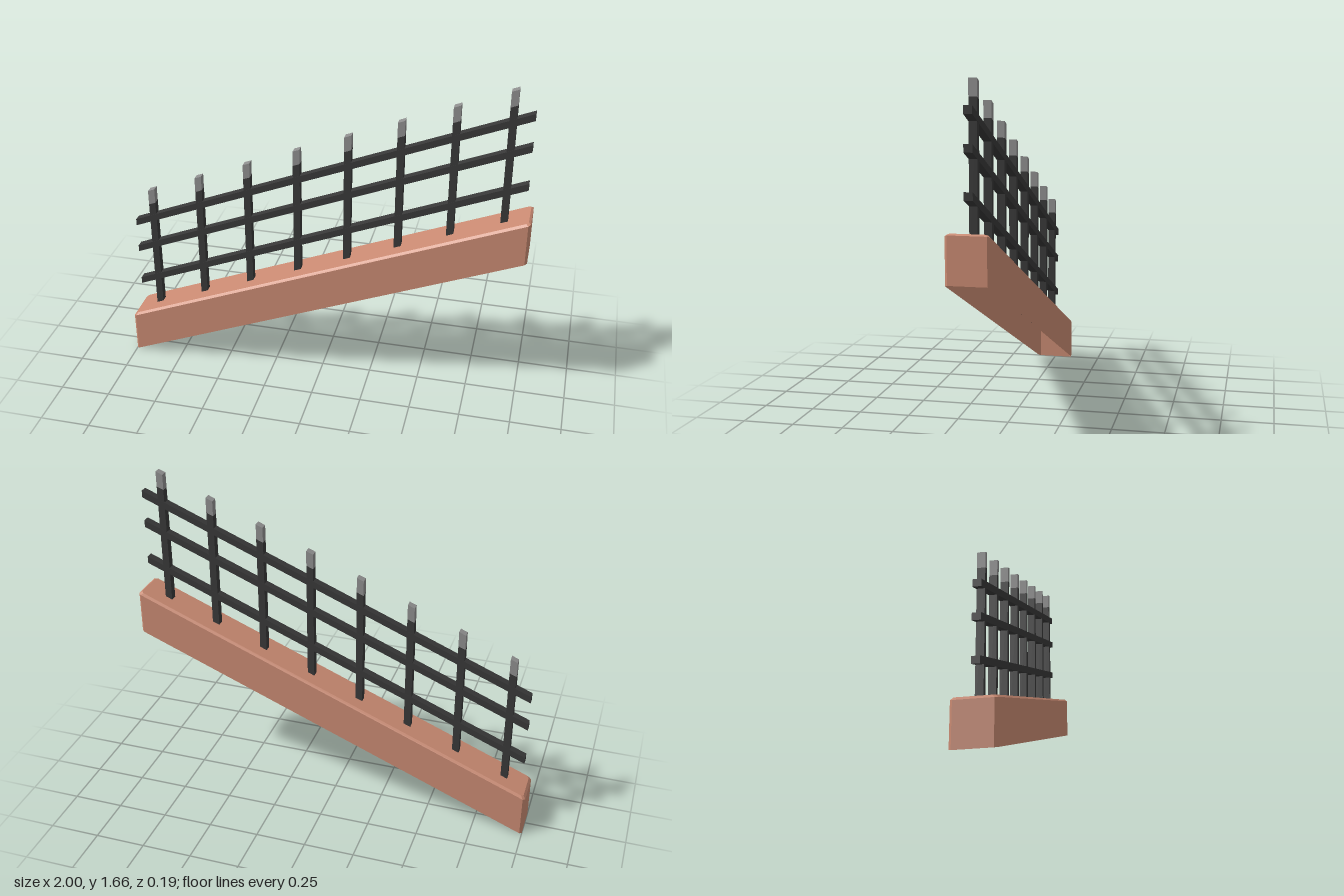
import * as THREE from 'three';

const SLOPE = 0.408;

// Shear a geometry so it climbs towards +x while its uprights stay vertical
function shear(geo) {
  const g = geo.index ? geo.toNonIndexed() : geo;
  const p = g.attributes.position;
  for (let i = 0; i < p.count; i++) p.setY(i, p.getY(i) + SLOPE * (p.getX(i) + 1));
  g.computeVertexNormals();
  return g;
}

// Box given by its centre, with y measured above the sloping base line
function slopedBox(w, h, d, x, y) {
  return shear(new THREE.BoxGeometry(w, h, d).translate(x, y, 0));
}

// Hollow plinth: chamfered walls and top, open underneath
function plinthGeometry(hx, hz, h, c) {
  const ring = (x, z, y) => [
    [x, y, z - c], [x - c, y, z], [c - x, y, z], [-x, y, z - c],
    [-x, y, c - z], [c - x, y, -z], [x - c, y, -z], [x, y, c - z],
  ];
  const rings = [ring(hx, hz, 0), ring(hx, hz, h - c), ring(hx - c, hz - c, h)];
  const pos = [];
  const tri = (...pts) => pts.forEach((q) => pos.push(...q));
  for (let r = 0; r < 2; r++) {
    for (let i = 0; i < 8; i++) {
      const j = (i + 1) % 8;
      const [a, b, d, e] = [rings[r][i], rings[r][j], rings[r + 1][j], rings[r + 1][i]];
      tri(a, e, d);
      tri(a, d, b);
    }
  }
  const top = rings[2];
  for (let i = 1; i < 7; i++) tri(top[0], top[i + 1], top[i]);
  const geo = new THREE.BufferGeometry();
  geo.setAttribute('position', new THREE.Float32BufferAttribute(pos, 3));
  return shear(geo);
}

export function createModel() {
  const model = new THREE.Group();
  model.name = 'slopedFence';

  const clay = new THREE.MeshStandardMaterial({ color: 0xc98a72, side: THREE.DoubleSide });
  clay.name = 'clay';
  const iron = new THREE.MeshStandardMaterial({ color: 0x383838 });
  iron.name = 'darkIron';
  const steel = new THREE.MeshStandardMaterial({ color: 0x8e8e8e });
  steel.name = 'greySteel';

  const add = (name, geo, mat) => {
    const mesh = new THREE.Mesh(geo, mat);
    mesh.name = name;
    model.add(mesh);
  };

  // Sloping base
  add('plinth', plinthGeometry(1, 0.096, 0.22, 0.011), clay);

  // Eight posts with lighter tips, reaching down inside the base
  for (let i = 0; i < 8; i++) {
    const x = -0.877 + i * 0.25;
    add('post', slopedBox(0.034, 0.72, 0.036, x, 0.45), iron);
    add('postTip', slopedBox(0.034, 0.076, 0.036, x, 0.848), steel);
  }

  // Three rails parallel to the base
  for (const y of [0.378, 0.573, 0.728]) {
    add('rail', slopedBox(1.942, 0.035, 0.038, 0, y), iron);
  }

  return model;
}
